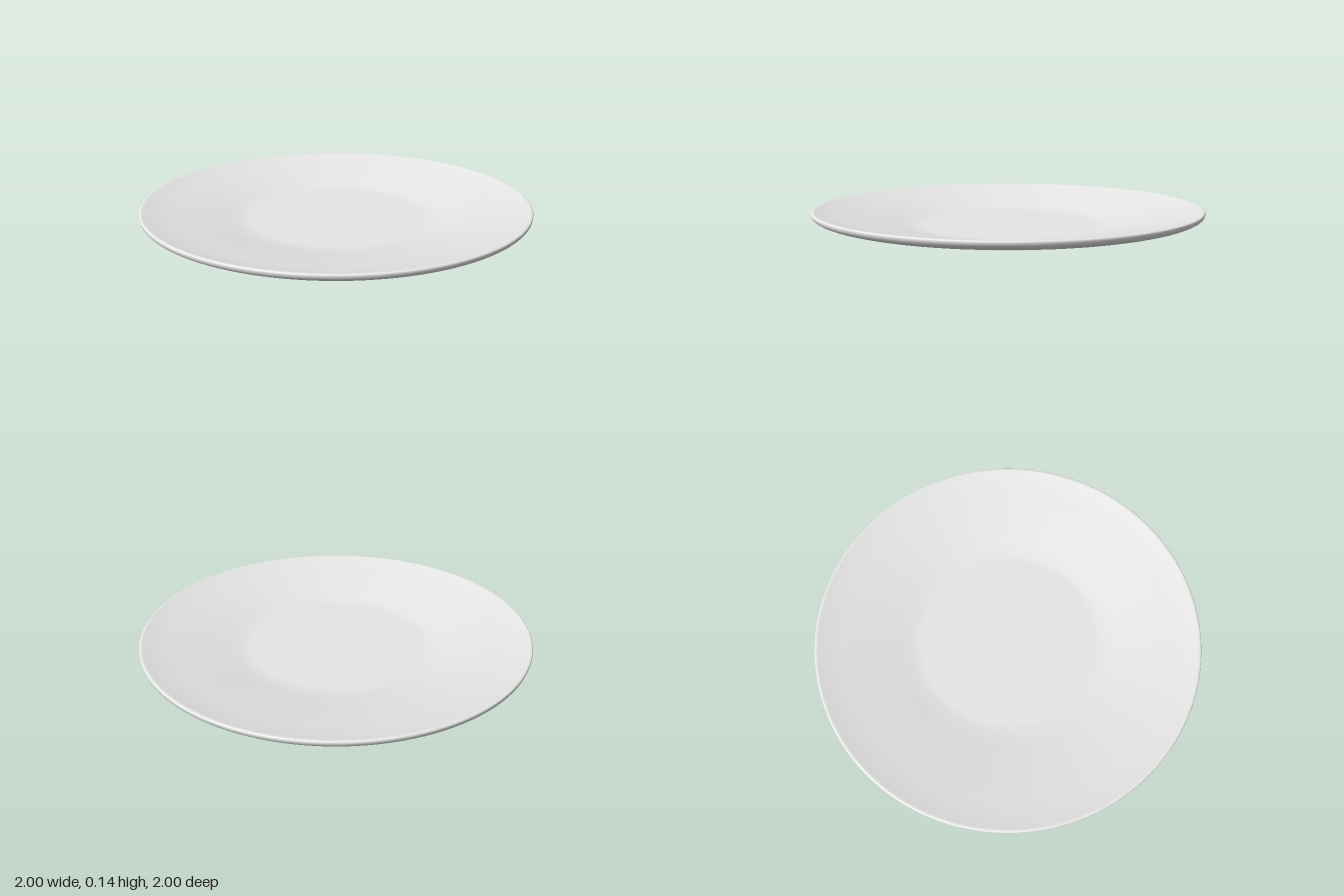
import * as THREE from 'three';

export function createModel() {
  const plate = new THREE.Group();
  plate.name = 'plate';
  const glaze = new THREE.MeshStandardMaterial({ color: 0xe6e6e6 });
  glaze.name = 'pale grey glaze';
  const SEGMENTS = 128;

  // Profile from the foot, out under the wall, over the rim and in to the well
  const profile = new THREE.Path();
  profile.moveTo(0.512, 0);
  profile.lineTo(0.512, 0.014);
  profile.quadraticCurveTo(0.514, 0.03, 0.56, 0.036);
  profile.lineTo(0.84, 0.074);
  profile.bezierCurveTo(0.93, 0.087, 0.998, 0.1, 0.999, 0.125);
  profile.bezierCurveTo(1.002, 0.138, 0.995, 0.142, 0.98, 0.138);
  profile.bezierCurveTo(0.94, 0.127, 0.88, 0.114, 0.82, 0.104);
  profile.lineTo(0.6, 0.062);
  profile.quadraticCurveTo(0.51, 0.043, 0.46, 0.042);
  profile.lineTo(0, 0.042);

  const body = new THREE.Mesh(new THREE.LatheGeometry(profile.getPoints(10), SEGMENTS), glaze);
  body.name = 'dishBody';
  plate.add(body);

  // Flat underside, separate so the foot keeps a sharp edge
  const base = new THREE.Mesh(new THREE.CircleGeometry(0.512, SEGMENTS).rotateX(Math.PI / 2), glaze);
  base.name = 'footBase';
  plate.add(base);

  return plate;
}
